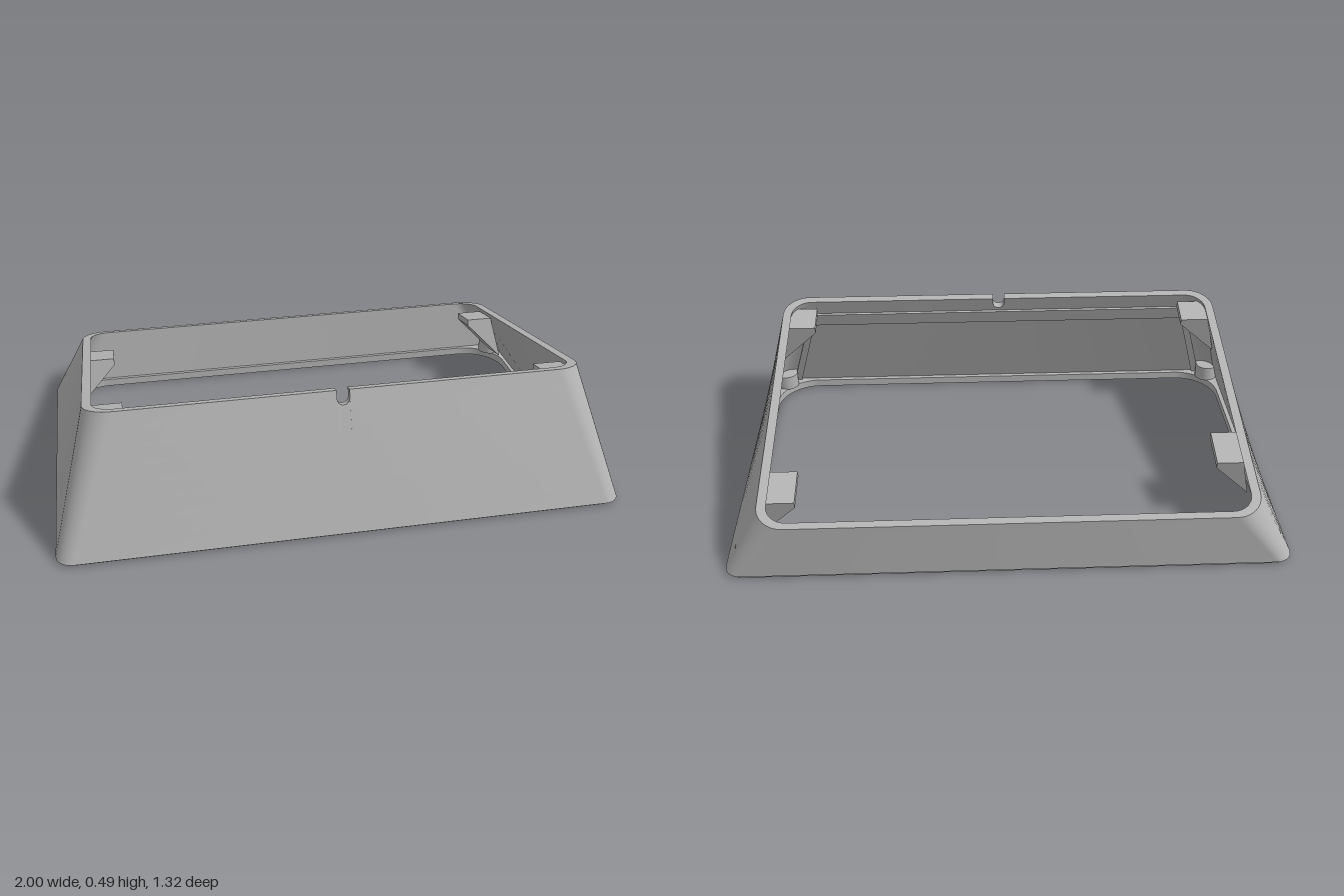
import * as THREE from 'three';
import { toCreasedNormals } from 'three/addons/utils/BufferGeometryUtils.js';

const SLOPE = 0.2232;
const rimY = z => 0.49 - (0.505 - z) * SLOPE;

// Cable notch outline in the middle of the front rim: [x, depth below rim]
const NOTCH = [[-0.0225, 0]];
for (let i = 0; i <= 8; i++) {
  const a = Math.PI * i / 8;
  NOTCH.push([-0.0225 * Math.cos(a), 0.0275 + 0.0225 * Math.sin(a)]);
}
NOTCH.push([0.0225, 0]);

// Rounded rectangle ring, counterclockwise from above; every ring has the same point count
function ring(hw, back, front, r, y) {
  const pts = [];
  const sloped = y === undefined;
  const add = (x, z) => pts.push(new THREE.Vector3(x, sloped ? rimY(z) : y, z));
  for (const [x, d] of NOTCH) {
    add(x, front);
    if (sloped) {
      const p = pts[pts.length - 1];
      p.y -= d;
      p.z += d * 0.32;
    }
  }
  const corners = [
    [hw - r, front - r, 1], [hw - r, back + r, 0],
    [-hw + r, back + r, -1], [-hw + r, front - r, -2],
  ];
  corners.forEach(([cx, cz, q], k) => {
    for (let i = 0; i <= 10; i++) {
      const a = (q + 0 - i / 10) * Math.PI / 2;
      add(cx + r * Math.cos(a), cz + r * Math.sin(a));
    }
    // extra points along the twisted side walls
    if (k === 0 || k === 2) {
      const z0 = k === 0 ? front - r : back + r;
      const z1 = k === 0 ? back + r : front - r;
      for (let i = 1; i < 8; i++) add(k === 0 ? hw : -hw, z0 + (z1 - z0) * i / 8);
    }
  });
  return pts;
}

// Rings between two loops, including the first but not the last
function blend(a, b, steps) {
  return Array.from({ length: steps }, (_, s) => a.map((p, i) => p.clone().lerp(b[i], s / steps)));
}

// Skin through closed rings, with the last joined back to the first
function skin(rings) {
  const n = rings[0].length, m = rings.length;
  const pos = rings.flat().flatMap(p => [p.x, p.y, p.z]);
  const index = [];
  for (let i = 0; i < m; i++) {
    for (let j = 0; j < n; j++) {
      const k = (j + 1) % n, u = (i + 1) % m;
      const a = i * n + j, b = i * n + k, c = u * n + k, d = u * n + j;
      index.push(a, b, c, a, c, d);
    }
  }
  const g = new THREE.BufferGeometry();
  g.setAttribute('position', new THREE.Float32BufferAttribute(pos, 3));
  g.setIndex(index);
  return toCreasedNormals(g, 0.5);
}

// Rounded rectangle outline in plan, with shape y = -z
function plan(target, hw, back, front, r) {
  const corners = [[hw - r, -front + r, -1], [hw - r, -back - r, 0], [-hw + r, -back - r, 1], [-hw + r, -front + r, 2]];
  corners.forEach(([x, y, q], i) => {
    const a = q * Math.PI / 2;
    if (i === 0) target.moveTo(x + r * Math.cos(a), y + r * Math.sin(a));
    target.absarc(x, y, r, a, a + Math.PI / 2, false);
  });
  target.closePath();
  return target;
}

const polygon = pts => pts.map(([x, y]) => new THREE.Vector2(x, y));

export function createModel() {
  const group = new THREE.Group();
  const grey = new THREE.MeshStandardMaterial({ color: 0xb4b4b4 });
  grey.name = 'grey plastic';
  const add = (name, geometry) => {
    const mesh = new THREE.Mesh(geometry, grey);
    mesh.name = name;
    group.add(mesh);
    return mesh;
  };

  // Sloped, tapering wall with an open top
  const outerBottom = ring(1, -0.645, 0.66, 0.06, 0.01);
  const outerTop = ring(0.87, -0.66, 0.503, 0.1);
  const innerTop = ring(0.837, -0.633, 0.473, 0.075);
  const innerBottom = ring(0.963, -0.612, 0.625, 0.05, 0.01);
  add('housingWall', skin([
    ...blend(outerBottom, outerTop, 8),
    outerTop,
    ...blend(innerTop, innerBottom, 8),
    innerBottom,
  ]));

  // Base flange with screw holes
  const screws = [[0.915, 0.575], [-0.915, 0.575], [0.915, -0.57], [-0.915, -0.57]];
  const flange = plan(new THREE.Shape(), 0.988, -0.638, 0.648, 0.055);
  flange.holes.push(plan(new THREE.Path(), 0.94, -0.6, 0.6, 0.16));
  for (const [x, z] of screws) flange.holes.push(new THREE.Path().absarc(x, -z, 0.016, 0, Math.PI * 2, true));
  const flangeGeo = new THREE.ExtrudeGeometry(flange, { depth: 0.03, bevelEnabled: false, curveSegments: 12 });
  flangeGeo.rotateX(-Math.PI / 2);
  add('baseFlange', toCreasedNormals(flangeGeo, 0.5));

  // Blind screw bosses in the corners
  const bossProfile = polygon([[0, 0.05], [0.016, 0.05], [0.016, 0], [0.045, 0], [0.045, 0.06], [0, 0.06]]);
  const bossGeo = toCreasedNormals(new THREE.LatheGeometry(bossProfile, 24), 0.5);
  for (const [x, z] of screws) add('screwBoss', bossGeo).position.set(x, 0.028, z);

  // Wedge-shaped tabs just below the rim, square to its slope: [side, inner x, back z, front z]
  const tabs = [[1, 0.74, 0.345, 0.46], [-1, 0.735, 0.35, 0.46], [1, 0.745, -0.53, -0.39], [-1, 0.75, -0.4, -0.255]];
  for (const [s, x, z0, z1] of tabs) {
    const shape = new THREE.Shape(polygon([[s * x, 0], [s * 0.845, 0], [s * 0.885, -0.17], [s * x, -0.025]]));
    const tilt = Math.atan(SLOPE);
    const depth = (z1 - z0) / Math.cos(tilt);
    const tab = add('supportTab', new THREE.ExtrudeGeometry(shape, { depth, bevelEnabled: false }));
    tab.position.set(0, rimY(z0) - 0.02, z0);
    tab.rotation.x = -tilt;
  }

  // Raised surround that leaves a shallow recess inside the front wall
  const surround = new THREE.Shape(polygon([
    [-0.89, 0.02], [-0.86, 0.02], [-0.765, 0.37], [0.765, 0.37],
    [0.86, 0.02], [0.89, 0.02], [0.775, 0.43], [-0.775, 0.43],
  ]));
  const frame = add('recessSurround', new THREE.ExtrudeGeometry(surround, { depth: 0.014, bevelEnabled: false }));
  frame.geometry.translate(0, 0, -0.01);
  frame.position.set(0, 0.01, 0.625);
  frame.rotation.x = -Math.atan(0.152 / 0.473);

  return group;
}
